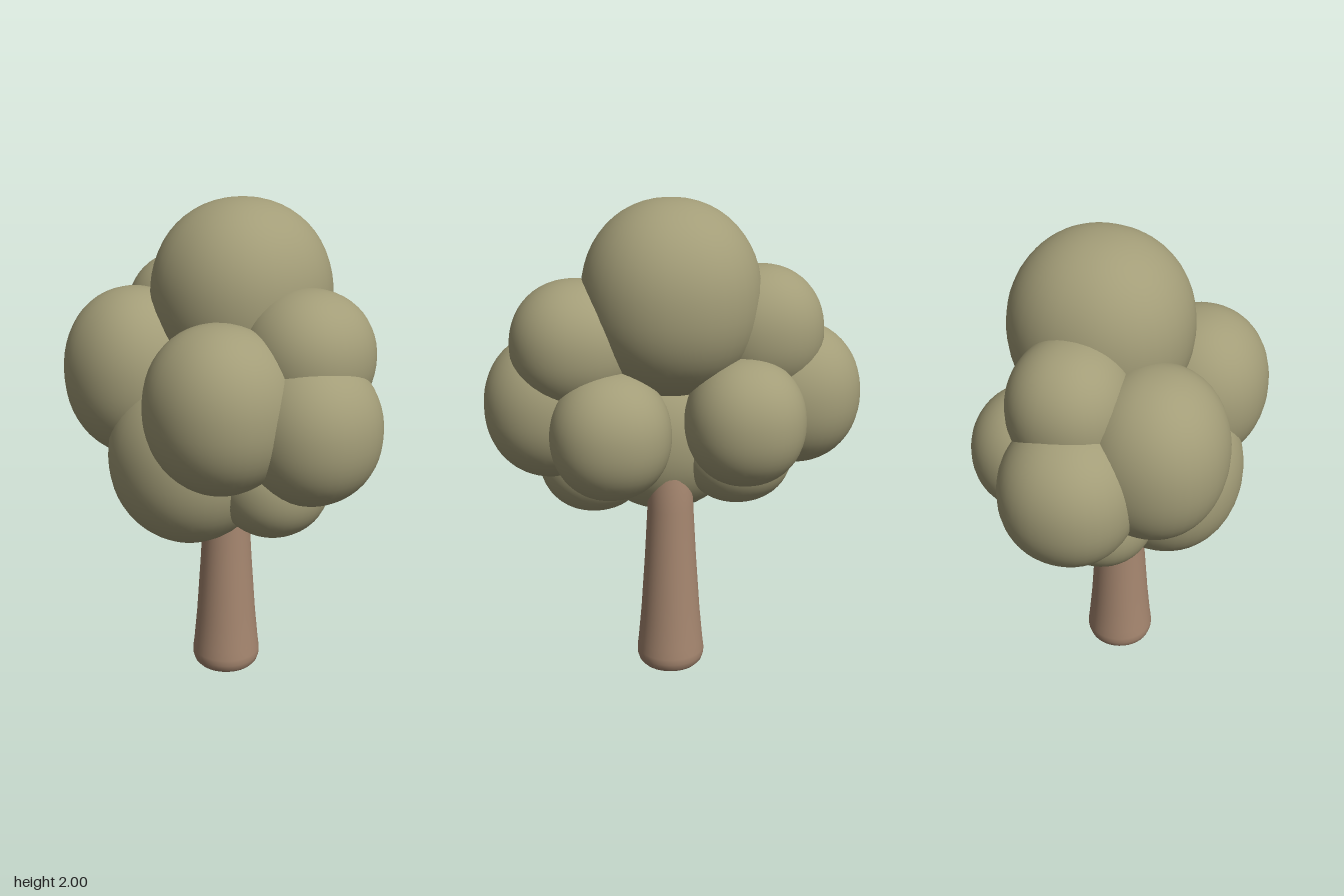
import * as THREE from 'three';

// Leaf clumps: name, centre x y z, radii x y z
const CLUMPS = [
  ['crownTop', 0.015, 1.62, -0.09, 0.35, 0.38, 0.36],
  ['frontClumpRight', -0.275, 1.3, 0.225, 0.295, 0.345, 0.285],
  ['frontClumpLeft', 0.27, 1.27, 0.235, 0.295, 0.325, 0.28],
  ['frontClumpLow', 0.015, 1.0, 0.185, 0.325, 0.345, 0.31],
  ['sideClumpRight', -0.49, 1.21, -0.03, 0.27, 0.29, 0.265],
  ['sideClumpLeft', 0.485, 1.19, -0.035, 0.27, 0.29, 0.265],
  ['upperClumpRight', -0.34, 1.48, -0.08, 0.25, 0.26, 0.235],
  ['upperClumpLeft', 0.39, 1.445, -0.1, 0.255, 0.255, 0.255],
  ['lowClumpRight', -0.27, 0.95, 0.01, 0.23, 0.215, 0.22],
  ['lowClumpLeft', 0.32, 0.94, 0.01, 0.225, 0.215, 0.22],
  ['backClumpRight', -0.25, 1.17, -0.29, 0.235, 0.25, 0.23],
  ['backClumpLeft', 0.27, 1.13, -0.28, 0.235, 0.25, 0.23],
];

// Ellipsoid pushed slightly towards a rounded box, so the clumps look full
function clumpGeometry(rx, ry, rz) {
  const geo = new THREE.SphereGeometry(1, 40, 28);
  const pos = geo.attributes.position;
  const v = new THREE.Vector3();
  const p = 2.12;
  for (let i = 0; i < pos.count; i++) {
    v.fromBufferAttribute(pos, i);
    const len = Math.abs(v.x) ** p + Math.abs(v.y) ** p + Math.abs(v.z) ** p;
    v.multiplyScalar(len ** (-1 / p));
    pos.setXYZ(i, v.x * rx, v.y * ry, v.z * rz);
    // smooth normal of the stretched surface
    const n = (c, r) => Math.sign(c) * Math.abs(c) ** (p - 1) / r;
    v.set(n(v.x, rx), n(v.y, ry), n(v.z, rz)).normalize();
    geo.attributes.normal.setXYZ(i, v.x, v.y, v.z);
  }
  return geo;
}

export function createModel() {
  const tree = new THREE.Group();
  tree.name = 'tree';
  const leafMaterial = new THREE.MeshStandardMaterial({ color: 0xa39d78 });
  const barkMaterial = new THREE.MeshStandardMaterial({ color: 0xa5866f });

  // Tapered trunk with a rounded foot
  const profile = [
    [0, 0], [0.105, 0], [0.122, 0.006], [0.135, 0.02], [0.143, 0.045], [0.143, 0.07],
    [0.138, 0.11], [0.125, 0.25], [0.108, 0.5], [0.096, 0.72], [0.085, 1.0], [0, 1.1],
  ].map(([r, y]) => new THREE.Vector2(r, y));
  const trunk = new THREE.Mesh(new THREE.LatheGeometry(profile, 40), barkMaterial);
  trunk.name = 'trunk';
  trunk.position.set(0.01, 0, -0.015);
  tree.add(trunk);

  // Foliage of overlapping clumps
  const foliage = new THREE.Group();
  foliage.name = 'foliage';
  for (const [name, x, y, z, rx, ry, rz] of CLUMPS) {
    const clump = new THREE.Mesh(clumpGeometry(rx, ry, rz), leafMaterial);
    clump.name = name;
    clump.position.set(x, y, z);
    foliage.add(clump);
  }
  tree.add(foliage);
  return tree;
}
